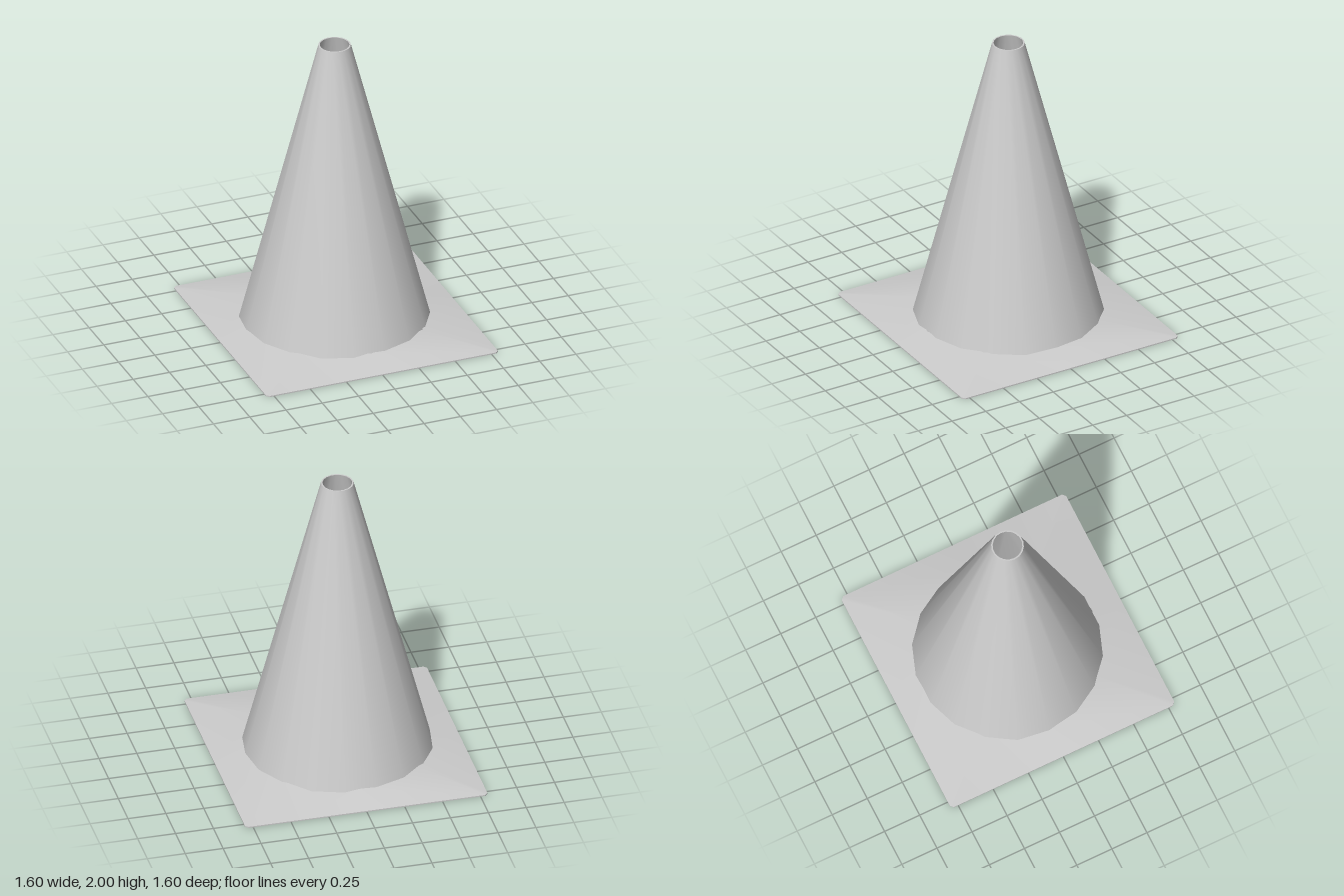
import * as THREE from 'three';
import { toCreasedNormals } from 'three/addons/utils/BufferGeometryUtils.js';

const material = new THREE.MeshStandardMaterial({ color: 0xcccccc, side: THREE.DoubleSide });

function addMesh(group, name, geometry, crease) {
  const mesh = new THREE.Mesh(toCreasedNormals(geometry, crease), material);
  mesh.name = name;
  group.add(mesh);
  return mesh;
}

// Square plate with clipped corners, rising gently to an eight-sided hole
function plateGeometry() {
  const half = 0.8, clip = 0.02, edgeY = 0.008, holeR = 0.6, holeY = 0.058;
  const pos = [];
  const tri = (a, b, c) => pos.push(...a, ...b, ...c);
  const quad = (a, b, c, d) => { tri(a, b, c); tri(a, c, d); };
  const at = (p, y) => [p[0], y, p[1]];

  for (let side = 0; side < 4; side++) {
    const turn = side * Math.PI / 2, c = Math.cos(turn), s = Math.sin(turn);
    const rot = (x, z) => [x * c + z * s, z * c - x * s];
    const inner = [-1, 0, 1].map(k => rot(holeR * Math.sin(k * Math.PI / 4), holeR * Math.cos(k * Math.PI / 4)));
    const outer = [-half + clip, 0, half - clip].map(x => rot(x, half));
    const nextCorner = rot(half, half - clip);

    for (let k = 0; k < 2; k++) {
      const [i0, i1, o0, o1] = [inner[k], inner[k + 1], outer[k], outer[k + 1]];
      quad(at(i0, holeY), at(o0, edgeY), at(o1, edgeY), at(i1, holeY)); // sloped top
      quad(at(i0, 0), at(i1, 0), at(o1, 0), at(o0, 0));                 // underside
      quad(at(o0, 0), at(o1, 0), at(o1, edgeY), at(o0, edgeY));         // outer edge
      quad(at(i1, 0), at(i0, 0), at(i0, holeY), at(i1, holeY));         // hole wall
    }
    // clipped corner
    const a = outer[2], b = nextCorner, i = inner[2];
    tri(at(i, holeY), at(a, edgeY), at(b, edgeY));
    tri(at(i, 0), at(b, 0), at(a, 0));
    quad(at(a, 0), at(b, 0), at(b, edgeY), at(a, edgeY));
  }
  const geometry = new THREE.BufferGeometry();
  geometry.setAttribute('position', new THREE.Float32BufferAttribute(pos, 3));
  return geometry;
}

export function createModel() {
  const group = new THREE.Group();
  group.name = 'trafficCone';

  addMesh(group, 'basePlate', plateGeometry(), 0.6);

  // Hollow tapered body, open at both ends, with a thin rim
  const profile = [[0.605, 0.03], [0.615, 0.03], [0.105, 2], [0.095, 2], [0.605, 0.03]]
    .map(([r, y]) => new THREE.Vector2(r, y));
  const body = addMesh(group, 'coneBody', new THREE.LatheGeometry(profile, 18, Math.PI / 2), 0.7);
  body.position.set(-0.007, 0, -0.007);

  return group;
}
